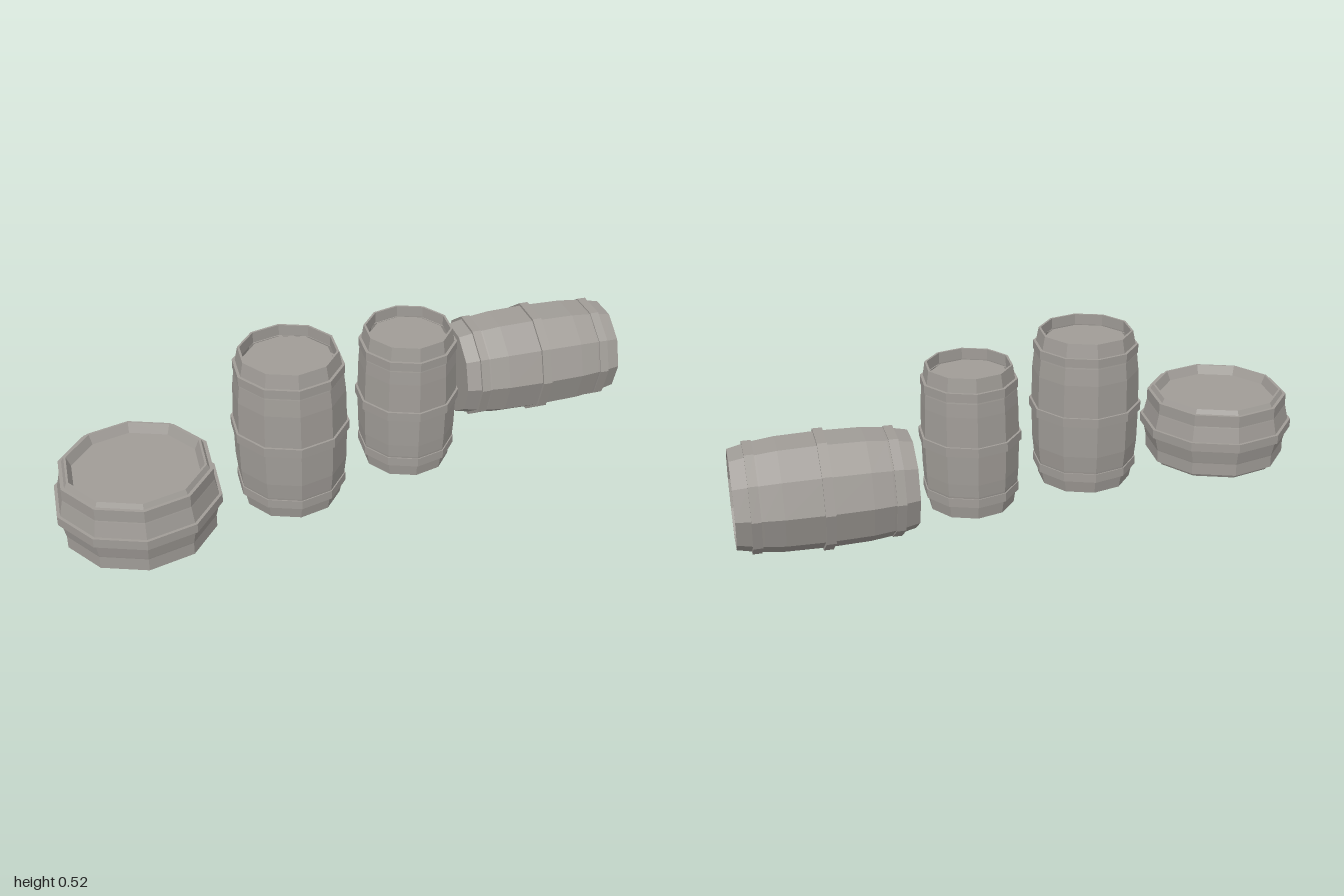
import * as THREE from 'three';

const SIDES = 10;
const wood = new THREE.MeshStandardMaterial({ color: 0xa09c97, side: THREE.DoubleSide });
wood.name = 'greyWood';

// Faceted ten-sided turning of [radius, height] points, a corner on each side in x
function turned(name, points) {
  const profile = points.map(([r, y]) => new THREE.Vector2(r, y));
  const geometry = new THREE.LatheGeometry(profile, SIDES).rotateY(Math.PI / 2).toNonIndexed();
  geometry.computeVertexNormals();
  const mesh = new THREE.Mesh(geometry, wood);
  mesh.name = name;
  return mesh;
}

// Flat ten-sided board facing up
function disc(name, radius, y) {
  const geometry = new THREE.CircleGeometry(radius, SIDES).rotateX(-Math.PI / 2);
  const mesh = new THREE.Mesh(geometry, wood);
  mesh.position.y = y;
  mesh.name = name;
  return mesh;
}

// Staves with a thin inner rim, raised hoops and a sunken lid; open underneath
function barrel({ name, height, staves, rim, lid, hoops }) {
  const group = new THREE.Group();
  group.name = name;
  const [topRadius] = staves[staves.length - 1];
  group.add(turned('staves', staves));
  group.add(turned('rim', [[topRadius, height], [rim.top, height], [rim.bottom, height - rim.depth]]));
  group.add(disc('lid', lid, height - rim.depth));
  for (const [radius, low, high, thickness] of hoops) {
    const inner = radius - thickness;
    group.add(turned('hoop', [[inner, low], [radius, low], [radius, high], [inner, high]]));
  }
  return group;
}

// Tall barrel, mirrored about its middle
function tallBarrel(name, height, ends, hoopRadius, belly, middleRadius) {
  const half = height / 2;
  const lower = [[ends, 0], [hoopRadius - 0.009, 0.046], [hoopRadius - 0.003, 0.08], [belly - 0.003, height * 0.26]];
  const upper = lower.map(([r, y]) => [r, height - y]).reverse();
  return barrel({
    name, height,
    staves: [...lower, [belly, half], ...upper],
    rim: { top: ends - 0.007, bottom: ends - 0.007, depth: 0.035 },
    lid: ends - 0.015,
    hoops: [
      [hoopRadius, 0.045, 0.074, 0.014],
      [middleRadius, half - 0.015, half + 0.015, 0.012],
      [hoopRadius, height - 0.074, height - 0.045, 0.014],
    ],
  });
}

export function createModel() {
  const model = new THREE.Group();
  model.name = 'barrels';

  // Low wide tub
  const tub = barrel({
    name: 'tub', height: 0.245,
    staves: [[0.218, 0], [0.226, 0.015], [0.238, 0.06], [0.249, 0.108], [0.249, 0.138],
      [0.238, 0.187], [0.226, 0.23], [0.218, 0.245]],
    rim: { top: 0.211, bottom: 0.197, depth: 0.03 },
    lid: 0.197,
    hoops: [[0.237, 0.015, 0.06, 0.02], [0.259, 0.108, 0.138, 0.018], [0.237, 0.187, 0.23, 0.02]],
  });
  tub.position.set(-0.741, 0, -0.014);
  model.add(tub);

  // Standing barrels
  const large = tallBarrel('largeBarrel', 0.52, 0.154, 0.172, 0.178, 0.185);
  large.position.set(-0.252, 0, 0.061);
  const small = tallBarrel('smallBarrel', 0.477, 0.14, 0.156, 0.159, 0.166);
  small.position.set(0.171, 0, 0.075);
  model.add(large, small);

  // Barrel lying on its side, closed at both ends
  const length = 0.544;
  const lying = tallBarrel('lyingBarrel', length, 0.153, 0.172, 0.179, 0.187);
  lying.add(disc('bottom', 0.153, 0));
  lying.children.forEach((part) => {
    part.position.y -= length / 2;
    part.rotation.y = Math.PI / 2;
  });
  lying.rotation.set(0, -0.256, -Math.PI / 2);
  lying.position.set(0.694, 0.183, 0.034);
  model.add(lying);

  return model;
}
